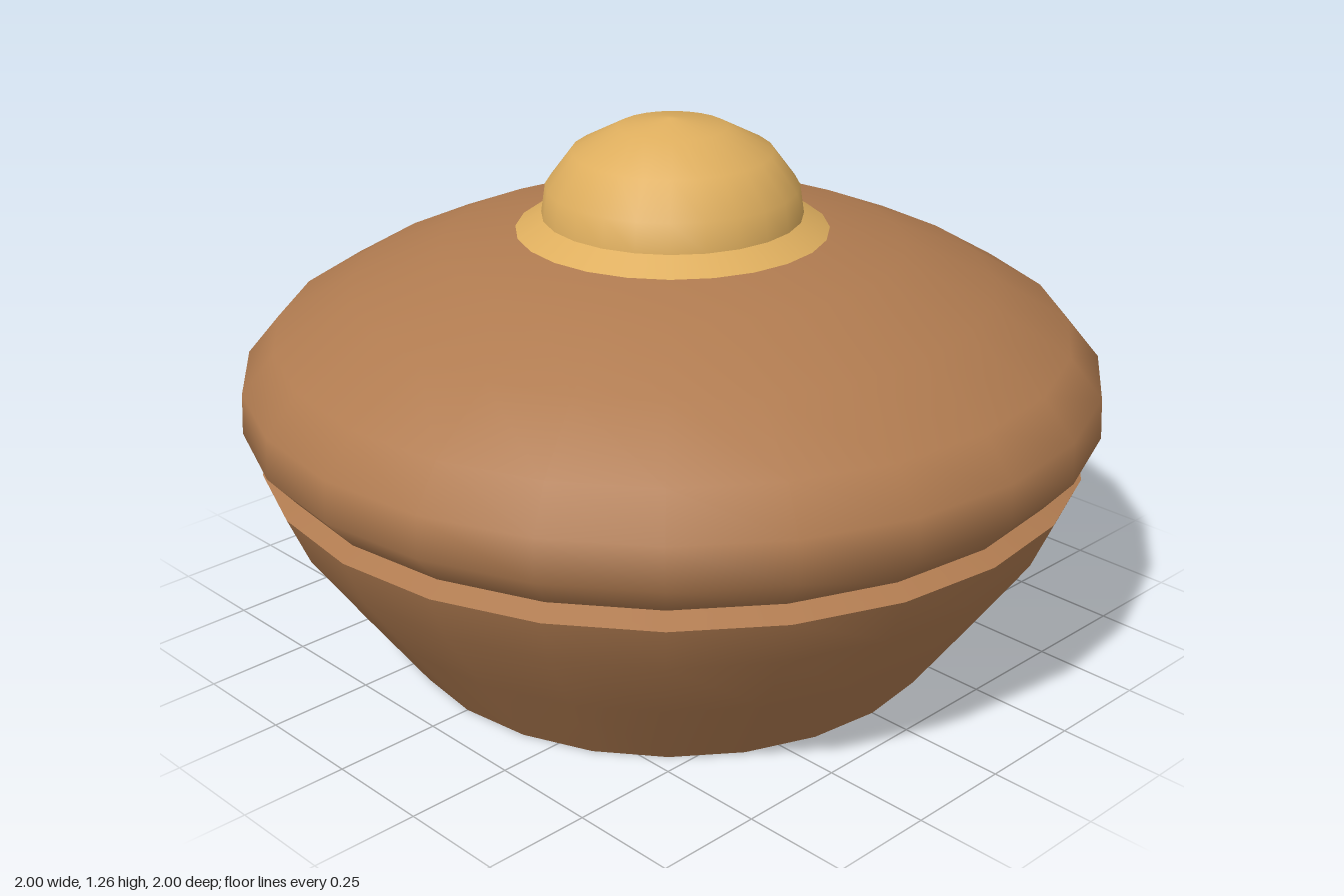
import * as THREE from 'three';

const SEGMENTS = 24;

export function createModel() {
  const model = new THREE.Group();
  const clay = new THREE.MeshStandardMaterial({ color: 0xb07b50 });
  clay.name = 'brown clay';
  const gold = new THREE.MeshStandardMaterial({ color: 0xdeae5e });
  gold.name = 'gold glaze';

  // Each smooth band is its own lathe, so edges between bands stay sharp.
  // Profiles run upward for outer faces and downward for inner faces.
  function turned(name, material, profile) {
    const points = profile.map(([r, y]) => new THREE.Vector2(r, y));
    const mesh = new THREE.Mesh(new THREE.LatheGeometry(points, SEGMENTS), material);
    mesh.name = name;
    model.add(mesh);
  }

  // Bowl: foot ring, flared wall and sloping rim
  turned('footRing', clay, [[0.58, 0], [0.65, 0]]);
  turned('bowlWall', clay, [[0.65, 0], [0.793, 0.2], [0.915, 0.375], [0.963, 0.487]]);
  turned('bowlRim', clay, [[0.963, 0.487], [0.9, 0.513]]);

  // Domed hollow under the foot
  const hollow = [];
  for (let i = 0; i <= 10; i++) {
    const angle = (i / 10) * Math.PI / 2;
    hollow.push([0.58 * Math.sin(angle), 0.4 * Math.cos(angle)]);
  }
  turned('footHollow', clay, hollow);

  // Lid: rounded shoulder rising to the knob
  turned('lid', clay, [
    [0.9, 0.508], [0.935, 0.52], [1, 0.595], [0.995, 0.69],
    [0.92, 0.78], [0.743, 0.885], [0.535, 0.973], [0.36, 1.005],
  ]);

  // Knob with its flared collar
  turned('knobCollar', gold, [[0.36, 1.005], [0.3, 1.04]]);
  turned('knob', gold, [
    [0.3, 1.04], [0.29, 1.107], [0.23, 1.187], [0.125, 1.242], [0.01, 1.262], [0, 1.262],
  ]);

  return model;
}
